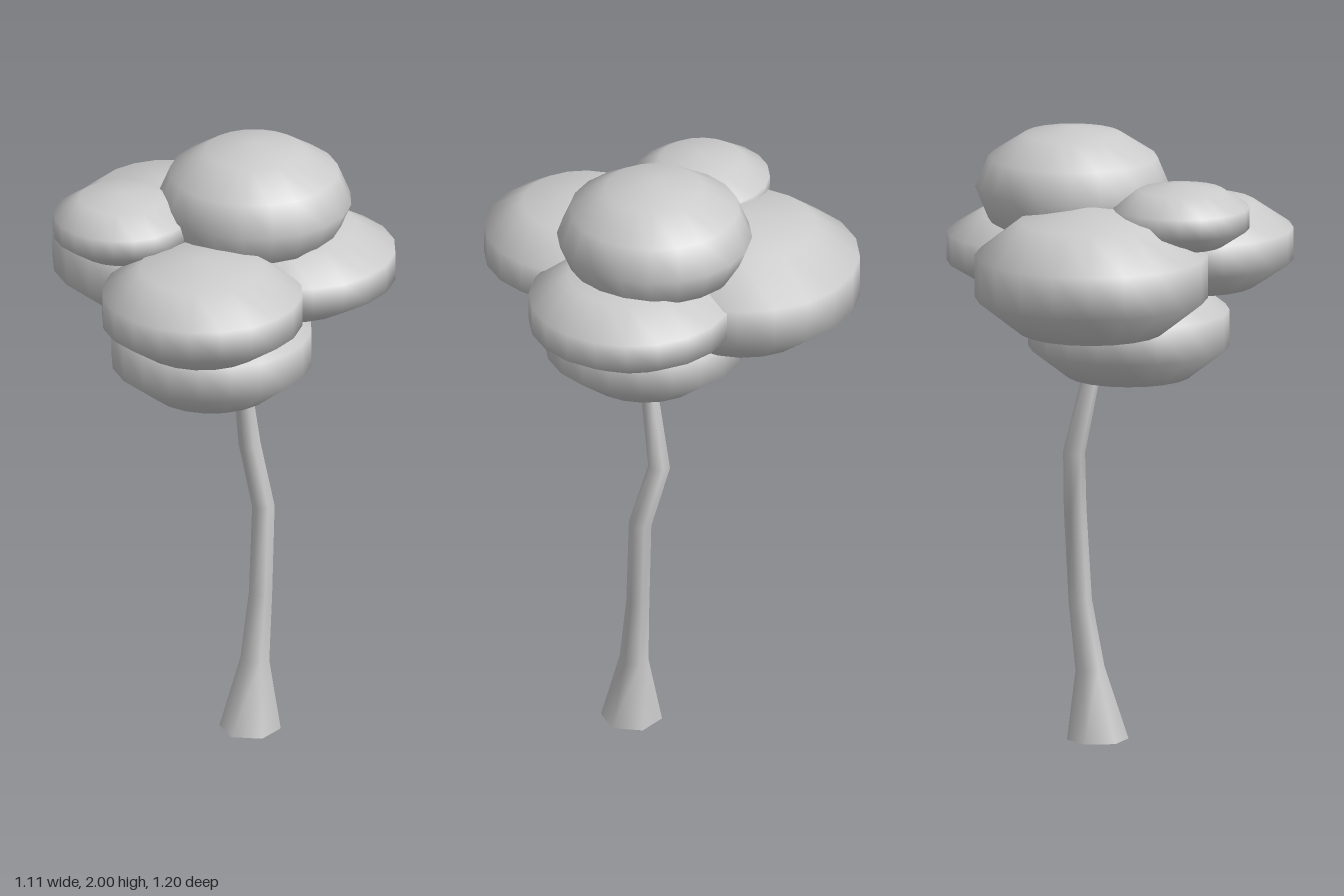
import * as THREE from 'three';

const material = new THREE.MeshStandardMaterial({ color: 0xcccccc });

// Foliage cushions: name, centre, [horizontal radius, half height], rings
const cushions = [
  ['topFoliage', [0.1, 1.8, -0.1], [0.31, 0.2], 6],
  ['frontFoliage', [-0.02, 1.595, 0.28], [0.336, 0.166], 5],
  ['leftFoliage', [0.225, 1.59, -0.105], [0.342, 0.152], 5],
  ['backFoliage', [-0.19, 1.577, -0.23], [0.389, 0.222], 5],
  ['smallRightFoliage', [-0.308, 1.756, 0.035], [0.228, 0.11], 5],
  ['lowerFoliage', [-0.02, 1.35, 0.033], [0.336, 0.19], 5],
];

// Trunk cross-sections: x, y, z, radius
const sections = [
  [0.098, 0, -0.005, 0.098],
  [0.111, 0.23, -0.026, 0.046],
  [0.126, 0.45, -0.053, 0.037],
  [0.133, 0.745, -0.068, 0.036],
  [0.084, 0.945, -0.106, 0.035],
  [0.066, 1.19, -0.052, 0.028],
  [0.05, 1.45, -0.04, 0.018],
];

// Six-sided bent trunk with a flared foot
function trunkGeometry(sides = 6) {
  const positions = [];
  const index = [];
  sections.forEach(([x, y, z, r], i) => {
    // Tilt each section across the direction of growth
    const a = sections[Math.max(i - 1, 0)];
    const b = sections[Math.min(i + 1, sections.length - 1)];
    const slopeX = i ? (b[0] - a[0]) / (b[1] - a[1]) : 0;
    const slopeZ = i ? (b[2] - a[2]) / (b[1] - a[1]) : 0;
    for (let s = 0; s < sides; s++) {
      const t = (s / sides) * Math.PI * 2;
      const dx = r * Math.cos(t);
      const dz = r * Math.sin(t);
      positions.push(x + dx, y - dx * slopeX - dz * slopeZ, z + dz);
    }
  });
  for (let i = 0; i < sections.length - 1; i++) {
    for (let s = 0; s < sides; s++) {
      const a = i * sides + s;
      const b = i * sides + ((s + 1) % sides);
      index.push(a, a + sides, b, b, a + sides, b + sides);
    }
  }
  const geometry = new THREE.BufferGeometry();
  geometry.setAttribute('position', new THREE.Float32BufferAttribute(positions, 3));
  geometry.setIndex(index);
  geometry.computeVertexNormals();
  return geometry;
}

export function createModel() {
  const group = new THREE.Group();
  group.name = 'tree';
  const add = (name, geometry) => {
    const mesh = new THREE.Mesh(geometry, material);
    mesh.name = name;
    group.add(mesh);
    return mesh;
  };

  add('trunk', trunkGeometry());

  // Closed underside of the trunk
  const [x, y, z, r] = sections[0];
  add('trunkBase', new THREE.CircleGeometry(r, 6).rotateX(Math.PI / 2).translate(x, y, z));

  // Flattened foliage cushions
  for (const [name, centre, [radius, half], rings] of cushions) {
    const geometry = new THREE.SphereGeometry(1, 20, rings).scale(radius, half, radius);
    add(name, geometry).position.set(...centre);
  }
  return group;
}
